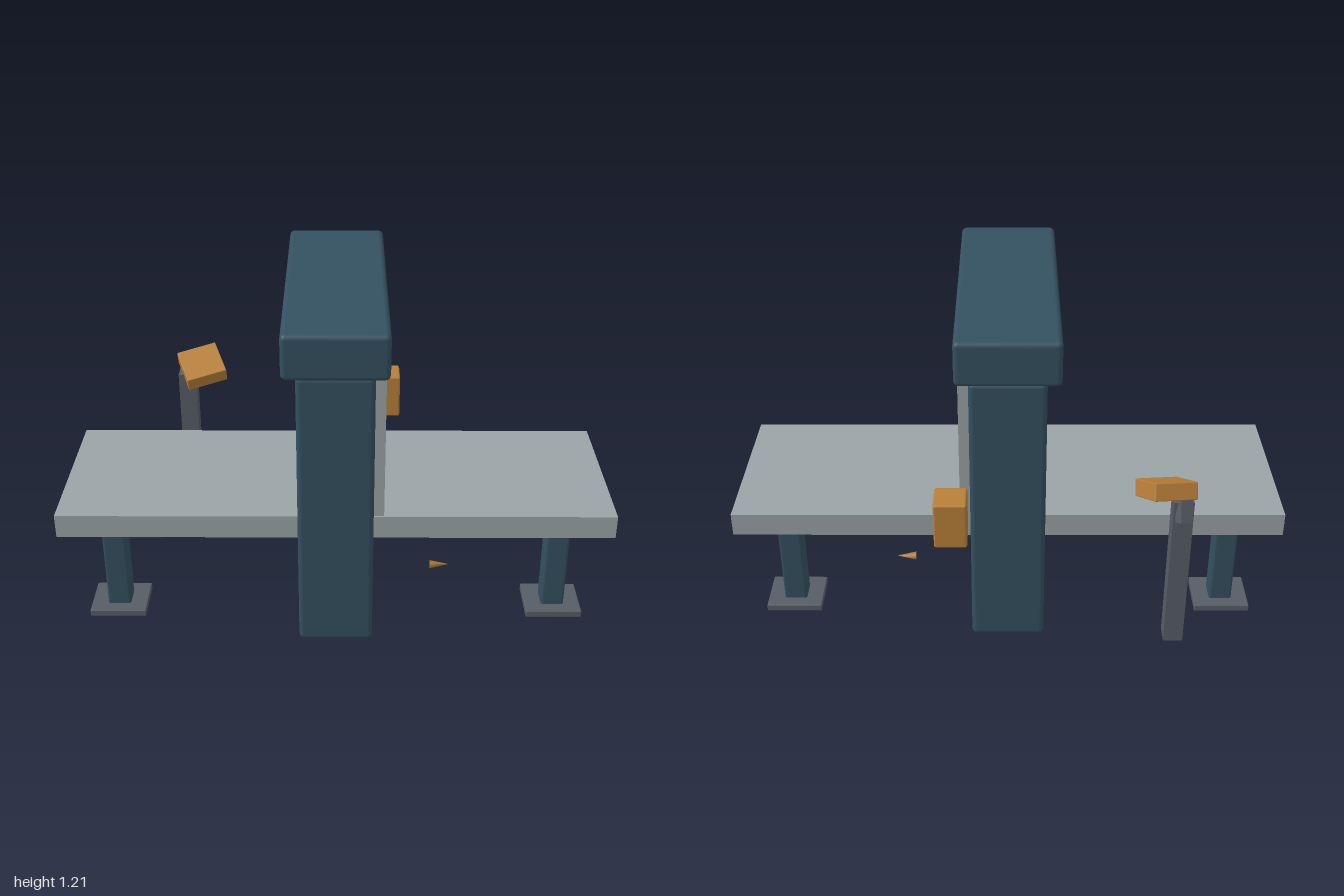
import * as THREE from 'three';
import { RoundedBoxGeometry } from 'three/addons/geometries/RoundedBoxGeometry.js';

const material = (name, color) => {
  const m = new THREE.MeshStandardMaterial({ color });
  m.name = name;
  return m;
};

export function createModel() {
  const model = new THREE.Group();
  model.name = 'gantryPress';
  const navy = material('navy paint', 0x34505f);
  const light = material('light steel', 0x9aa3a5);
  const dark = material('dark steel', 0x565d66);
  const orange = material('orange paint', 0xb87f38);

  // Box given by its extents on each axis; a radius rounds the edges
  function box(name, mat, [x0, x1], [y0, y1], [z0, z1], radius = 0) {
    const size = [x1 - x0, y1 - y0, z1 - z0];
    const geometry = radius
      ? new RoundedBoxGeometry(...size, 2, radius)
      : new THREE.BoxGeometry(...size);
    const mesh = new THREE.Mesh(geometry, mat);
    mesh.name = name;
    mesh.position.set((x0 + x1) / 2, (y0 + y1) / 2, (z0 + z1) / 2);
    model.add(mesh);
    return mesh;
  }

  // Gantry frame
  const zMid = 0.035;
  for (const s of [1, -1]) {
    const side = s > 0 ? 'front' : 'back';
    const zc = zMid + s * 0.402;
    box(side + 'Column', navy, [-0.13, 0.13], [0.018, 1.06], [zc - 0.082, zc + 0.082], 0.018);
    box(side + 'Rail', light, [0.12, 0.167], [0.505, 1.042], [zc - 0.024, zc + 0.024]);
  }
  box('topBeam', navy, [-0.177, 0.177], [1.055, 1.215], [-0.463, 0.537], 0.018);
  box('columnPin', dark, [-0.01, 0.01], [0.006, 0.03], [-0.388, -0.342]);

  // Table in two halves, each on two legs with feet
  for (const sx of [1, -1]) {
    const side = sx > 0 ? 'left' : 'right';
    const span = sx > 0 ? [0.04, 1] : [-1, -0.04];
    box(side + 'Table', light, span, [0.347, 0.435], [-0.285, 0.356]);
    for (const sz of [1, -1]) {
      const x = sx * 0.8;
      const zc = zMid + sz * 0.262;
      box(side + 'Leg', navy, [x - 0.042, x + 0.042], [0.035, 0.347], [zc - 0.043, zc + 0.043], 0.01);
      box(side + 'Foot', dark, [x - 0.102, x + 0.102], [0.018, 0.045], [zc - 0.088, zc + 0.088], 0.004);
    }
  }

  // Press head: motor, rod, ram bar, plate and blade
  box('motor', dark, [-0.09, 0.09], [0.895, 1.07], [-0.052, 0.126], 0.014);
  const rod = new THREE.Mesh(new THREE.CylinderGeometry(0.022, 0.022, 0.04, 16), dark);
  rod.name = 'pressRod';
  rod.position.set(0, 0.89, zMid);
  model.add(rod);
  box('ramBar', orange, [-0.1, 0.1], [0.808, 0.884], [-0.287, 0.357], 0.004);
  box('ramPlate', light, [-0.045, 0.045], [0.625, 0.81], [-0.287, 0.357]);
  box('blade', dark, [-0.018, 0.018], [0.598, 0.626], [-0.287, 0.357]);

  // Small pieces on the centre line
  box('gapPin', light, [-0.008, 0.008], [0.35, 0.445], [zMid - 0.007, zMid + 0.007]);
  box('floorBlock', dark, [-0.011, 0.011], [0.003, 0.025], [zMid - 0.011, zMid + 0.011]);
  const marker = new THREE.Mesh(
    new THREE.ConeGeometry(0.016, 0.075, 4, 1).rotateY(Math.PI / 4).rotateZ(-Math.PI / 2), orange);
  marker.name = 'floorArrow';
  marker.position.set(0.405, 0.014, zMid + 0.003);
  model.add(marker);

  // Control box beside the back column
  box('controlBox', orange, [0.14, 0.255], [0.446, 0.622], [-0.503, -0.387], 0.008);

  // Operator stand with a tilted console
  box('consolePost', dark, [-0.635, -0.565], [0.016, 0.62], [-0.48, -0.41]);
  const across = new THREE.Vector3(0.15, 0.025, -0.05).normalize();
  const up = new THREE.Vector3(0.054, -0.065, 0.135).cross(across).normalize();
  const forward = across.clone().cross(up);
  const tilt = new THREE.Matrix4().makeBasis(across, up, forward);
  const consoleBox = box('console', orange, [-0.621, -0.461], [0.617, 0.678], [-0.512, -0.358], 0.003);
  const bracket = box('consoleBracket', dark, [-0.622, -0.578], [0.55, 0.64], [-0.503, -0.463]);
  for (const part of [consoleBox, bracket]) part.quaternion.setFromRotationMatrix(tilt);

  return model;
}
